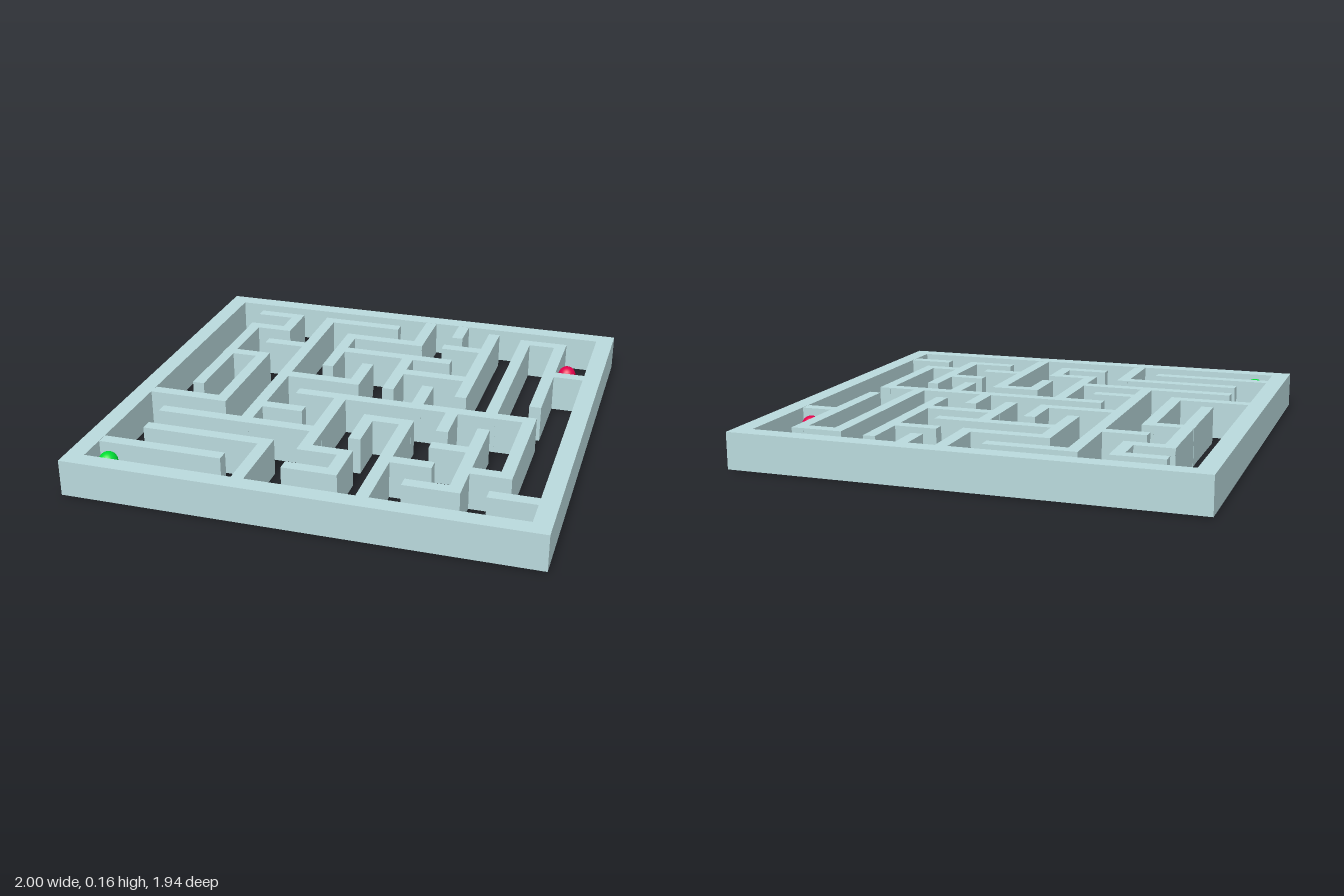
import * as THREE from 'three';

const T = 0.053; // inner wall thickness

// Walls along x: [z, xStart, xEnd]
const ROWS = [
  [-0.79, -0.79, -0.57], [-0.62, -0.785, -0.57], [-0.28, -0.785, -0.57], [0.23, -0.96, -0.57],
  [-0.45, -0.63, -0.41], [-0.79, -0.44, -0.05], [-0.62, -0.275, 0.117], [-0.45, -0.275, 0.295],
  [-0.28, 0.063, 0.45], [-0.62, 0.215, 0.45], [-0.105, -0.44, -0.05], [0.06, -0.293, 0.787],
  [-0.785, 0.565, 0.787], [-0.445, 0.76, 0.96], [0.57, 0.565, 0.787], [0.4, 0.407, 0.59],
  [0.737, 0.38, 0.617], [0.737, 0.72, 0.96], [0.57, 0.24, 0.462], [0.23, 0.063, 0.287],
  [0.57, -0.11, 0.115], [0.737, -0.12, 0.115], [0.23, -0.44, -0.206], [0.4, -0.807, -0.058],
  [0.57, -0.8, -0.23], [0.737, -0.96, -0.38],
];

// Walls along z: [x, zStart, zEnd]
const COLUMNS = [
  [-0.59, -0.817, -0.593], [-0.757, -0.647, 0.108], [-0.59, -0.307, 0.257], [-0.415, -0.817, 0.427],
  [0.09, -0.93, -0.593], [-0.25, -0.647, -0.242], [0.09, -0.475, -0.077], [0.425, -0.84, -0.08],
  [0.258, -0.93, -0.742], [-0.075, -0.317, -0.078], [0.258, -0.155, 0.087], [0.59, -0.812, 0.087],
  [0.762, -0.812, -0.077], [0.425, 0.035, 0.27], [0.762, 0.032, 0.597], [0.59, 0.197, 0.762],
  [0.26, 0.203, 0.93], [0.09, 0.203, 0.44], [-0.085, 0.035, 0.597], [0.09, 0.543, 0.762],
  [-0.255, 0.543, 0.93],
];

function rectangle(path, w, d) {
  path.moveTo(-w, -d);
  path.lineTo(w, -d);
  path.lineTo(w, d);
  path.lineTo(-w, d);
  path.closePath();
  return path;
}

export function createModel() {
  const model = new THREE.Group();
  model.name = 'ballMaze';
  const wallMaterial = new THREE.MeshStandardMaterial({ color: 0xb9d9dc });

  // Outer frame, open at top and bottom
  const outline = rectangle(new THREE.Shape(), 1, 0.971);
  outline.holes.push(rectangle(new THREE.Path(), 0.922, 0.895));
  const frameGeometry = new THREE.ExtrudeGeometry(outline, { depth: 0.158, bevelEnabled: false });
  frameGeometry.rotateX(-Math.PI / 2).translate(0, 0.005, 0);
  const frame = new THREE.Mesh(frameGeometry, wallMaterial);
  frame.name = 'outerFrame';
  model.add(frame);

  // Maze walls, tucked into the frame where they meet it
  const walls = new THREE.Group();
  walls.name = 'mazeWalls';
  const height = 0.162;
  const addWall = (name, w, d, x, z) => {
    const wall = new THREE.Mesh(new THREE.BoxGeometry(w, height, d), wallMaterial);
    wall.position.set(x, height / 2, z);
    wall.name = name;
    walls.add(wall);
  };
  ROWS.forEach(([z, a, b]) => addWall('crossWall', b - a, T, (a + b) / 2, z));
  COLUMNS.forEach(([x, a, b]) => addWall('lengthWall', T, b - a, x, (a + b) / 2));
  model.add(walls);

  // Start and finish balls
  const ballGeometry = new THREE.SphereGeometry(0.04, 32, 20);
  const addBall = (name, color, x, z) => {
    const ball = new THREE.Mesh(ballGeometry, new THREE.MeshStandardMaterial({ color }));
    ball.position.set(x, 0.114, z);
    ball.name = name;
    model.add(ball);
  };
  addBall('redBall', 0xe0004a, 0.83, -0.57);
  addBall('greenBall', 0x00dd33, -0.85, 0.83);

  return model;
}
